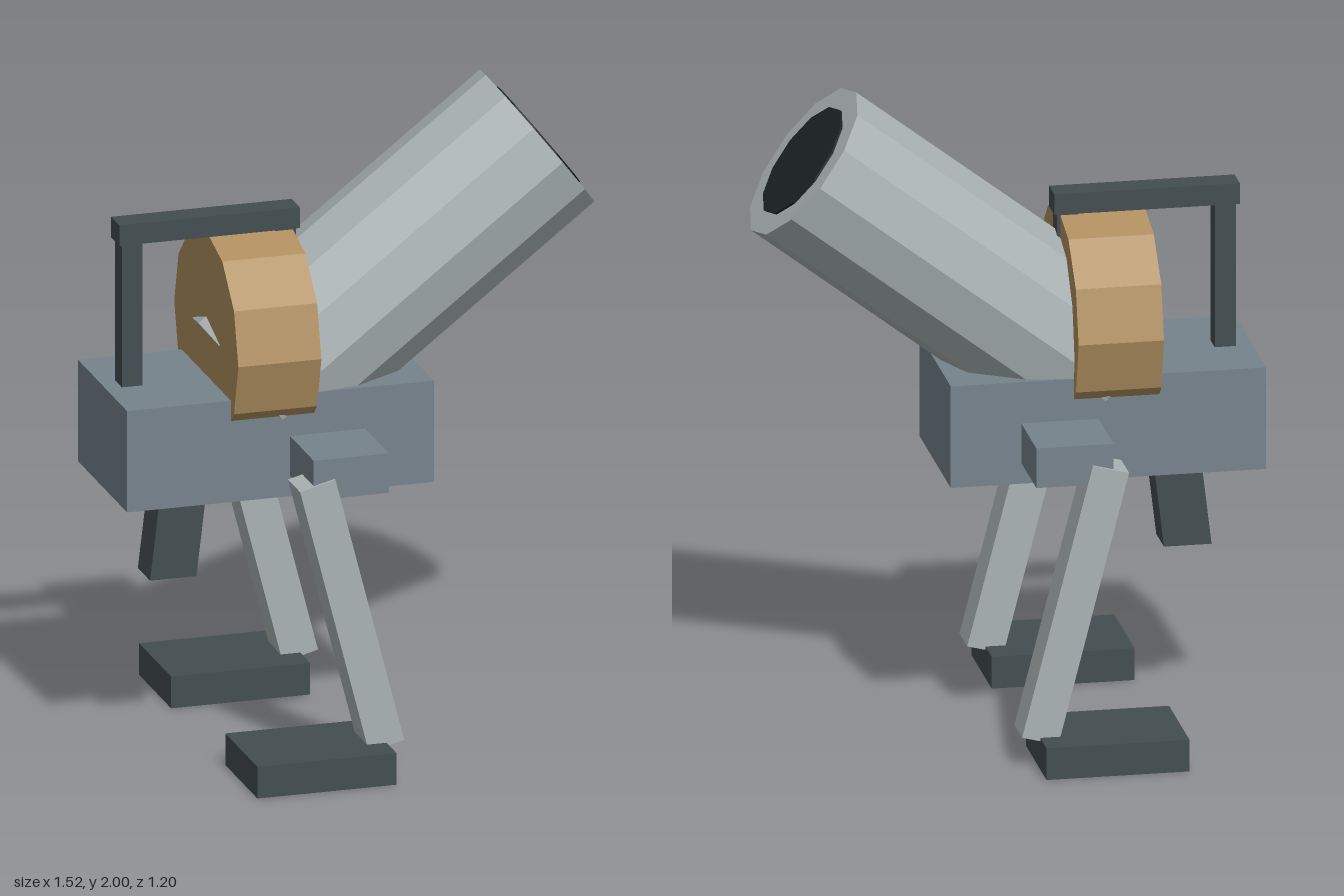
import * as THREE from 'three';

const mat = (color) => new THREE.MeshStandardMaterial({ color, flatShading: true });

export function createModel() {
  const model = new THREE.Group();
  const slate = mat(0x76838c);
  const steel = mat(0xaab2b4);
  const dark = mat(0x434d51);
  const brass = mat(0xb08f5f);
  const black = mat(0x1d2427);

  function add(name, geometry, material, x, y, z, rotZ = 0) {
    const mesh = new THREE.Mesh(geometry, material);
    mesh.name = name;
    mesh.position.set(x, y, z);
    mesh.rotation.z = rotZ;
    model.add(mesh);
    return mesh;
  }
  const box = (name, material, size, pos, rotZ) =>
    add(name, new THREE.BoxGeometry(...size), material, ...pos, rotZ);

  // Body and the hip axle that crosses it
  box('body', slate, [0.96, 0.32, 0.5], [-0.28, 0.98, 0]);
  box('hipAxle', slate, [0.235, 0.125, 0.98], [-0.1325, 0.9475, 0]);

  // Twelve-sided barrel tilted upwards, with a dark bore at the muzzle
  const tilt = Math.atan2(0.611, 0.792);
  const length = 1.136;
  const along = (d) => [0.6 + Math.cos(tilt) * d, 1.793 + Math.sin(tilt) * d, 0];
  add('barrel', new THREE.CylinderGeometry(0.262, 0.262, length, 12), steel,
    ...along(-length / 2), tilt - Math.PI / 2);
  add('bore', new THREE.CylinderGeometry(0.19, 0.19, 0.03, 12), black,
    ...along(-0.008), tilt - Math.PI / 2);

  // Drum around the breech
  add('drum', new THREE.CylinderGeometry(0.325, 0.325, 0.26, 12), brass,
    -0.305, 1.27, 0, Math.PI / 2);

  // Carrying handle on two posts
  box('handleBar', dark, [0.565, 0.065, 0.084], [-0.4375, 1.6225, 0]);
  for (const side of [-1, 1]) {
    box('handlePost', dark, [0.065, 0.45, 0.07], [-0.4375 + side * 0.24, 1.365, 0]);
  }

  // Slanted grip below the body
  const gripShape = new THREE.Shape([
    new THREE.Vector2(-0.63, 0.53), new THREE.Vector2(-0.485, 0.53),
    new THREE.Vector2(-0.45, 0.825), new THREE.Vector2(-0.595, 0.825),
  ]);
  add('grip', new THREE.ExtrudeGeometry(gripShape, { depth: 0.124, bevelEnabled: false }),
    dark, 0, 0, -0.062);

  // Leaning legs and flat feet
  for (const side of [-1, 1]) {
    box('leg', steel, [0.114, 0.87, 0.125], [-0.1325, 0.511, side * 0.4375], 0.25);
    box('foot', dark, [0.435, 0.1, 0.325], [-0.2425, 0.05, side * 0.4375]);
  }
  return model;
}
